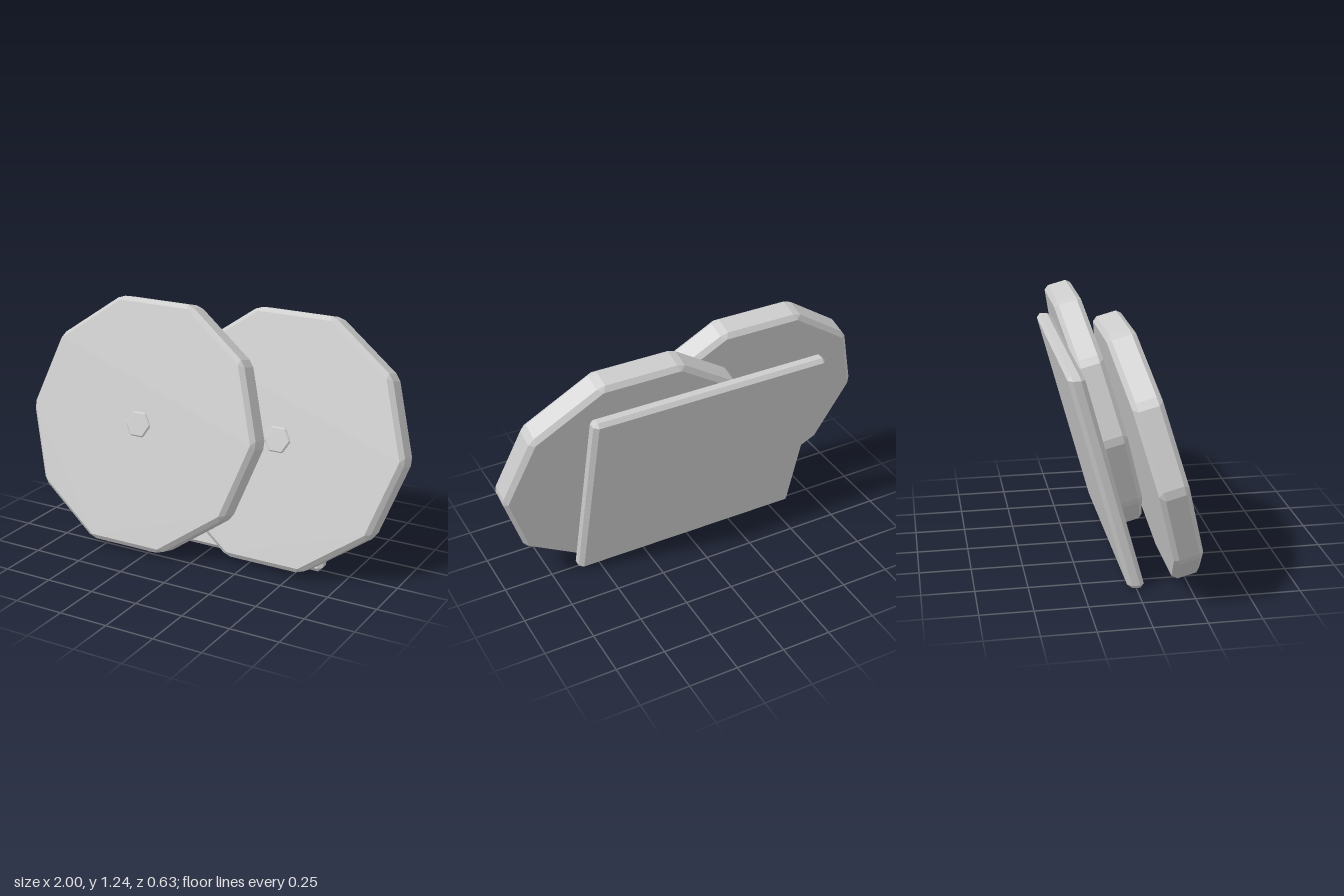
import * as THREE from 'three';
import { ConvexGeometry } from 'three/addons/geometries/ConvexGeometry.js';

const TILT = Math.PI / 12;

// Regular prism along z with every edge chamfered by b
function chamferedPrism(sides, radius, half, b) {
  const step = (2 * Math.PI) / sides;
  const corner = (k, r) => new THREE.Vector3(r * Math.cos(k * step), r * Math.sin(k * step), 0);
  const inner = radius - b / Math.cos(step / 2);
  const edge = 2 * radius * Math.sin(step / 2);
  const points = [];
  for (let k = 0; k < sides; k++) {
    for (const s of [-1, 1]) {
      points.push(corner(k, inner).setZ(s * half));
      for (const next of [k - 1, k + 1]) {
        points.push(corner(k, radius).lerp(corner(next, radius), b / edge).setZ(s * (half - b)));
      }
    }
  }
  return new ConvexGeometry(points);
}

// Box with chamfered edges, given by half sizes
function chamferedBox(x, y, z, b) {
  const points = [];
  for (const i of [-1, 1]) for (const j of [-1, 1]) for (const k of [-1, 1]) {
    points.push(
      new THREE.Vector3(i * (x - b), j * (y - b), k * z),
      new THREE.Vector3(i * (x - b), j * y, k * (z - b)),
      new THREE.Vector3(i * x, j * (y - b), k * (z - b)),
    );
  }
  return new ConvexGeometry(points);
}

export function createModel() {
  const model = new THREE.Group();
  const grey = new THREE.MeshStandardMaterial({ color: 0xcccccc });
  grey.name = 'light grey';

  const add = (parent, name, geometry) => {
    const mesh = new THREE.Mesh(geometry, grey);
    mesh.name = name;
    parent.add(mesh);
    return mesh;
  };

  // Two leaning ten-sided discs, each with a small hexagonal hub
  const discGeometry = chamferedPrism(10, 0.654, 0.069, 0.022);
  const hubGeometry = chamferedPrism(6, 0.071, 0.03, 0.006);
  for (const [name, x, z] of [['frontDisc', -0.352, 0.09], ['rearDisc', 0.352, -0.054]]) {
    const disc = new THREE.Group();
    disc.name = name;
    add(disc, 'plate', discGeometry);
    add(disc, 'hub', hubGeometry).position.z = 0.049;
    disc.position.set(x, 0.625, z);
    disc.rotation.x = -TILT;
    model.add(disc);
  }

  // Backing board, slanted with level top and bottom edges
  const boardGeometry = chamferedBox(0.612, 0.526, 0.04, 0.021);
  const position = boardGeometry.attributes.position;
  for (let i = 0; i < position.count; i++) {
    position.setZ(i, position.getZ(i) - position.getY(i) * Math.tan(TILT));
  }
  boardGeometry.computeVertexNormals();
  add(model, 'backBoard', boardGeometry).position.set(0, 0.526, -0.139);

  return model;
}
